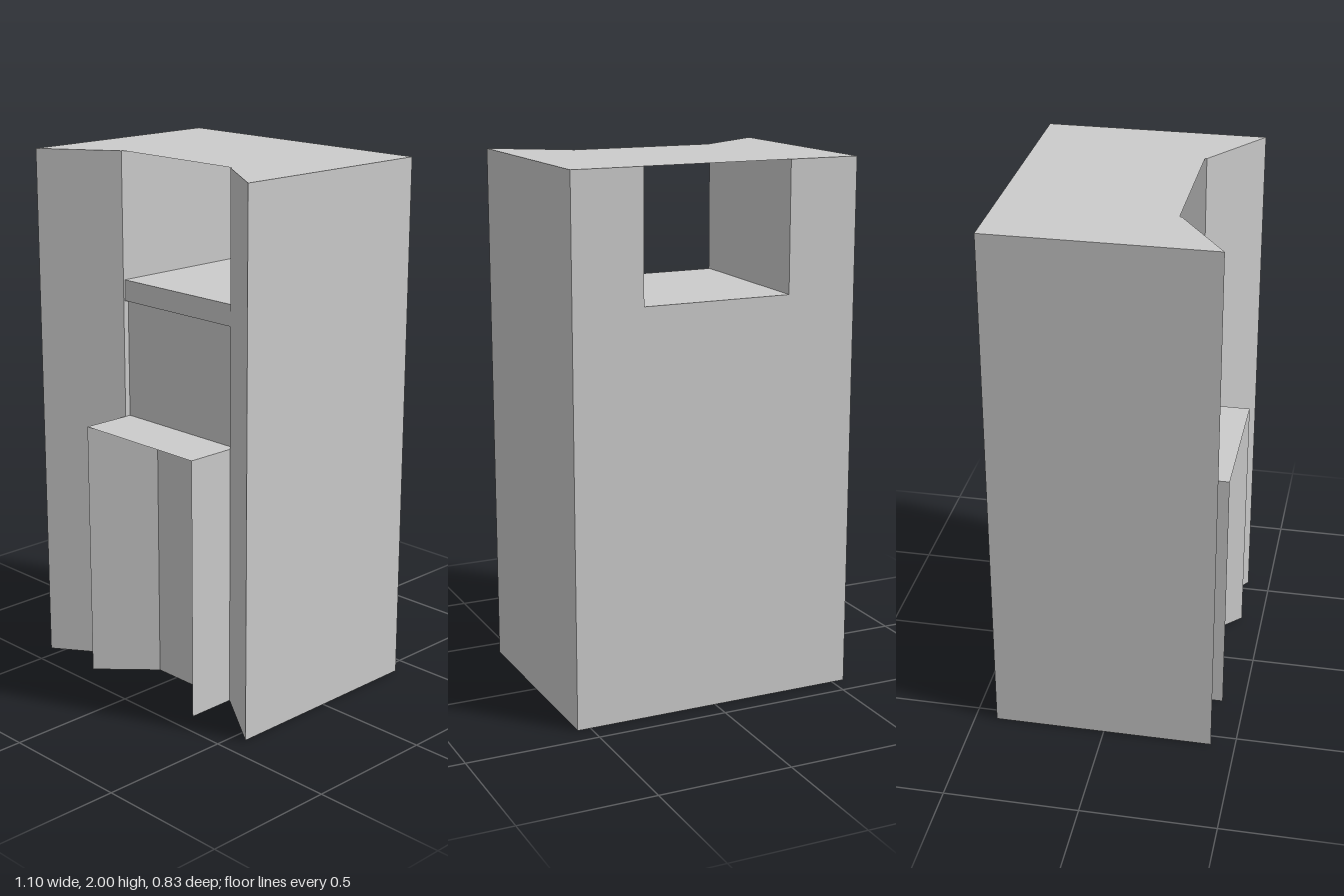
import * as THREE from 'three';
import { mergeGeometries } from 'three/addons/utils/BufferGeometryUtils.js';

const material = new THREE.MeshStandardMaterial({
  color: 0xcccccc, flatShading: true, side: THREE.DoubleSide,
});

// Main dimensions
const W = 0.55, H = 2, BACK = -0.417, WING = 0.41;      // outer shell
const IN = 0.283, NOTCH = 0.227, FACE = 0.22;           // central bay
const SILL = 1.52, LINTEL = 1.44, PANEL = 0.205;        // opening and recess
const LEDGE = 0.99, PORCH = 0.417, DOOR = 0.095, DOOR_Z = 0.235;

function mesh(name, geometry) {
  const m = new THREE.Mesh(geometry, material);
  m.name = name;
  return m;
}

// Upright wall following [x, z] points; it faces left of the walking direction seen from above
function wall(name, points, y0, y1) {
  const parts = [];
  for (let i = 1; i < points.length; i++) {
    const [ax, az] = points[i - 1], [bx, bz] = points[i];
    const g = new THREE.PlaneGeometry(Math.hypot(bx - ax, bz - az), y1 - y0);
    g.rotateY(Math.atan2(az - bz, bx - ax));
    g.translate((ax + bx) / 2, (y0 + y1) / 2, (az + bz) / 2);
    parts.push(g);
  }
  return mesh(name, mergeGeometries(parts));
}

function outline(points) {
  return new THREE.ShapeGeometry(new THREE.Shape(points.map(([x, y]) => new THREE.Vector2(x, y))));
}

// Level sheet from an [x, z] outline, facing up
function sheet(name, points, y) {
  const g = outline(points.map(([x, z]) => [x, -z]));
  g.rotateX(-Math.PI / 2);
  g.translate(0, y, 0);
  return mesh(name, g);
}

const rect = (x, z0, z1) => [[-x, z1], [x, z1], [x, z0], [-x, z0]];

export function createModel() {
  const model = new THREE.Group();

  // Outer sides and the slanted front wings
  model.add(wall('leftWall', [[IN, NOTCH], [W, WING], [W, BACK]], 0, H));
  model.add(wall('rightWall', [[-W, BACK], [-W, WING], [-IN, NOTCH]], 0, H));

  // Back wall, cut away for the opening
  const back = outline([[-W, 0], [W, 0], [W, H], [IN, H], [IN, SILL], [-IN, SILL], [-IN, H], [-W, H]]);
  back.rotateY(Math.PI);
  back.translate(0, 0, BACK);
  model.add(mesh('backWall', back));

  // Thin roof with a notched front
  model.add(sheet('roof', [
    [-W, BACK], [-W, WING], [-IN, NOTCH], [-IN, FACE],
    [IN, FACE], [IN, NOTCH], [W, WING], [W, BACK],
  ], H));

  // Passage from front to back
  model.add(sheet('passageFloor', rect(IN, BACK, FACE), SILL));
  model.add(wall('passageLeftSide', [[IN, BACK], [IN, NOTCH]], SILL, H));
  model.add(wall('passageRightSide', [[-IN, NOTCH], [-IN, BACK]], SILL, H));

  // Lintel and the recessed panel under it
  model.add(wall('lintel', [[-IN, NOTCH], [-IN, FACE], [IN, FACE], [IN, NOTCH]], LINTEL, SILL));
  model.add(sheet('lintelSoffit', rect(IN, PANEL, FACE), LINTEL));
  model.add(wall('recessedPanel', [[-IN, NOTCH], [-IN, PANEL], [IN, PANEL], [IN, NOTCH]], LEDGE, LINTEL));

  // Porch: flat canopy over a splayed doorway
  model.add(sheet('porchCanopy', rect(IN, PANEL, PORCH), LEDGE));
  model.add(wall('porchWalls', [
    [-IN, NOTCH], [-IN, PORCH], [-DOOR, DOOR_Z],
    [DOOR, DOOR_Z], [IN, PORCH], [IN, NOTCH],
  ], 0, LEDGE));

  return model;
}
